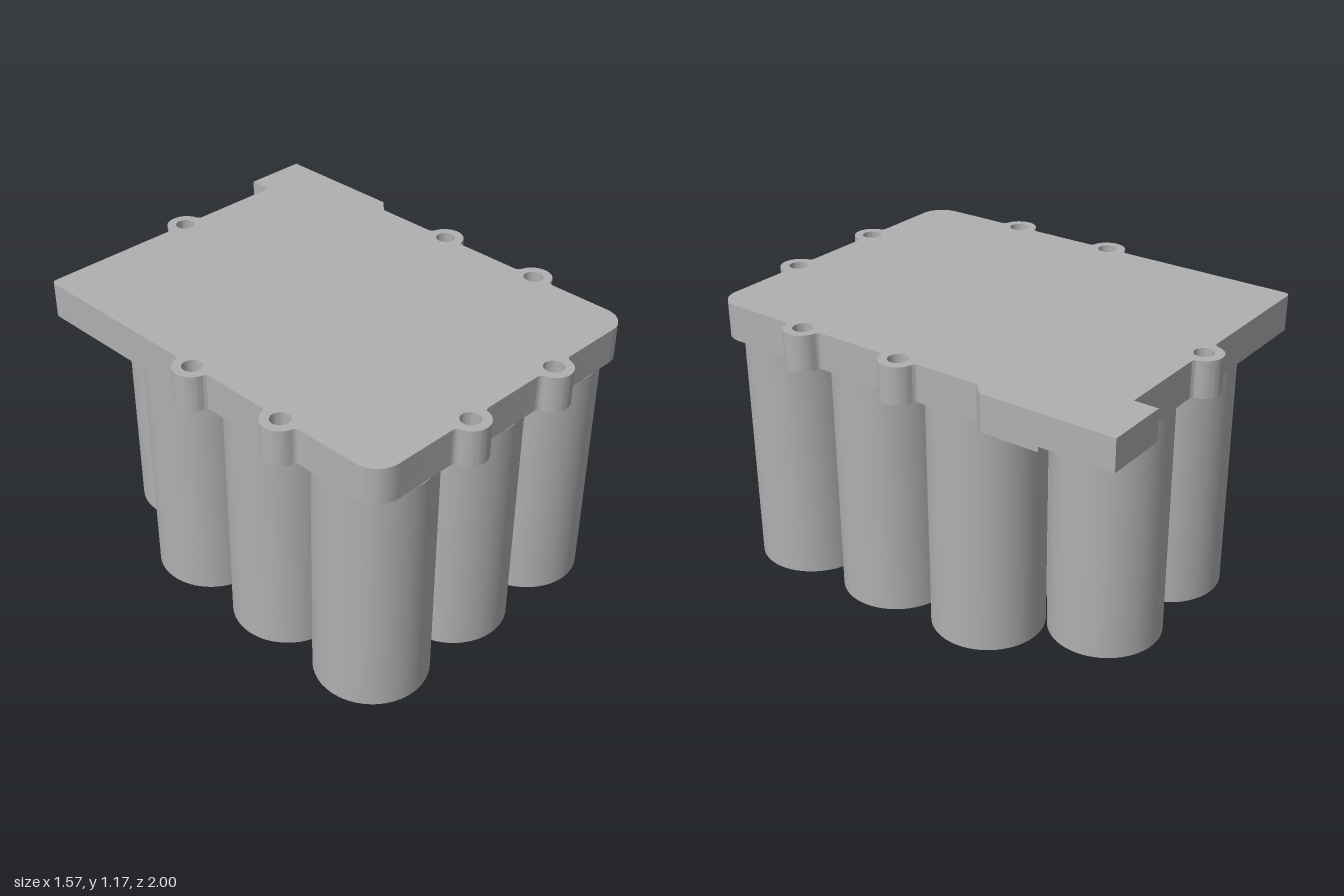
import * as THREE from 'three';
import { toCreasedNormals } from 'three/addons/utils/BufferGeometryUtils.js';

const BOTTOM = 1.023, STEP = 1.045, TOP = 1.175; // plate levels
const SIDE = 0.706, FRONT = 0.92, BACK = 0.9;    // plate edges
const LUG_R = 0.077, HOLE_R = 0.04, FILLET = 0.022;

// Lug centres as [x, -z], all lying on the plate edges
const frontLugs = [[-0.235, -FRONT], [0.235, -FRONT]];
const rightLugs = [[SIDE, -0.45], [SIDE, 0.025]];
const backLugs = [[0, BACK]];
const leftLugs = [[-SIDE, 0.025], [-SIDE, -0.45]];

// Adds a rounded lug with filleted roots to an edge running at angle t
function addLug(shape, [cx, cy], t) {
  const a = Math.sqrt((LUG_R + FILLET) ** 2 - FILLET ** 2);
  const phi = Math.atan2(FILLET, a);
  const dx = Math.cos(t), dy = Math.sin(t);
  const nx = dy * FILLET, ny = -dx * FILLET;
  shape.absarc(cx - a * dx + nx, cy - a * dy + ny, FILLET, t + Math.PI / 2, t + phi, true);
  shape.absarc(cx, cy, LUG_R, t + Math.PI + phi, t + 2 * Math.PI - phi, false);
  shape.absarc(cx + a * dx + nx, cy + a * dy + ny, FILLET, t + Math.PI - phi, t + Math.PI / 2, true);
}

// Plate outline; the corner tab is either full or cut short underneath
function plateShape(fullTab) {
  const s = new THREE.Shape();
  const r = 0.105, rb = 0.025;
  s.moveTo(-SIDE + r, -FRONT);
  frontLugs.forEach((c) => addLug(s, c, 0));
  s.absarc(SIDE - r, -FRONT + r, r, -Math.PI / 2, 0, false);
  rightLugs.forEach((c) => addLug(s, c, Math.PI / 2));
  s.lineTo(SIDE, 0.385);
  s.lineTo(0.76, 0.44);
  const tabEnd = fullTab ? 1 : 0.69;
  s.lineTo(0.76, tabEnd);
  s.lineTo(0.49, tabEnd);
  s.lineTo(0.49, BACK);
  backLugs.forEach((c) => addLug(s, c, Math.PI));
  s.absarc(-SIDE + rb, BACK - rb, rb, Math.PI / 2, Math.PI, false);
  leftLugs.forEach((c) => addLug(s, c, -Math.PI / 2));
  s.absarc(-SIDE + r, -FRONT + r, r, Math.PI, Math.PI * 1.5, false);

  // Bolt holes
  for (const [x, y] of [...frontLugs, ...rightLugs, ...backLugs, ...leftLugs]) {
    s.holes.push(new THREE.Path().absarc(x, y, HOLE_R, 0, Math.PI * 2, true));
  }
  return s;
}

function plateLayer(name, fullTab, y0, y1, material) {
  const geo = new THREE.ExtrudeGeometry(plateShape(fullTab), {
    depth: y1 - y0, bevelEnabled: false, curveSegments: 14,
  });
  geo.rotateX(-Math.PI / 2);
  geo.translate(0, y0, 0);
  const mesh = new THREE.Mesh(toCreasedNormals(geo, 0.6), material);
  mesh.name = name;
  return mesh;
}

export function createModel() {
  const group = new THREE.Group();
  group.name = 'cellPack';
  const grey = new THREE.MeshStandardMaterial({ color: 0xb0b0b0 });
  grey.name = 'plainGrey';

  // Cover plate: a thin lower layer leaves the step under the corner tab
  group.add(plateLayer('plateLower', false, BOTTOM, STEP, grey));
  group.add(plateLayer('plateUpper', true, STEP, TOP, grey));

  // Cells: a three by three grid plus two nested at the back
  const cells = new THREE.Group();
  cells.name = 'cells';
  const cellGeo = new THREE.CylinderGeometry(0.233, 0.233, BOTTOM, 64);
  const rows = [
    [0.69, [-0.471, 0, 0.471]],
    [0.218, [-0.471, 0, 0.471]],
    [-0.253, [-0.471, 0, 0.471]],
    [-0.661, [-0.2355, 0.2355]],
  ];
  for (const [z, xs] of rows) {
    for (const x of xs) {
      const cell = new THREE.Mesh(cellGeo, grey);
      cell.name = 'cell';
      cell.position.set(x, BOTTOM / 2, z);
      cells.add(cell);
    }
  }
  group.add(cells);
  return group;
}
